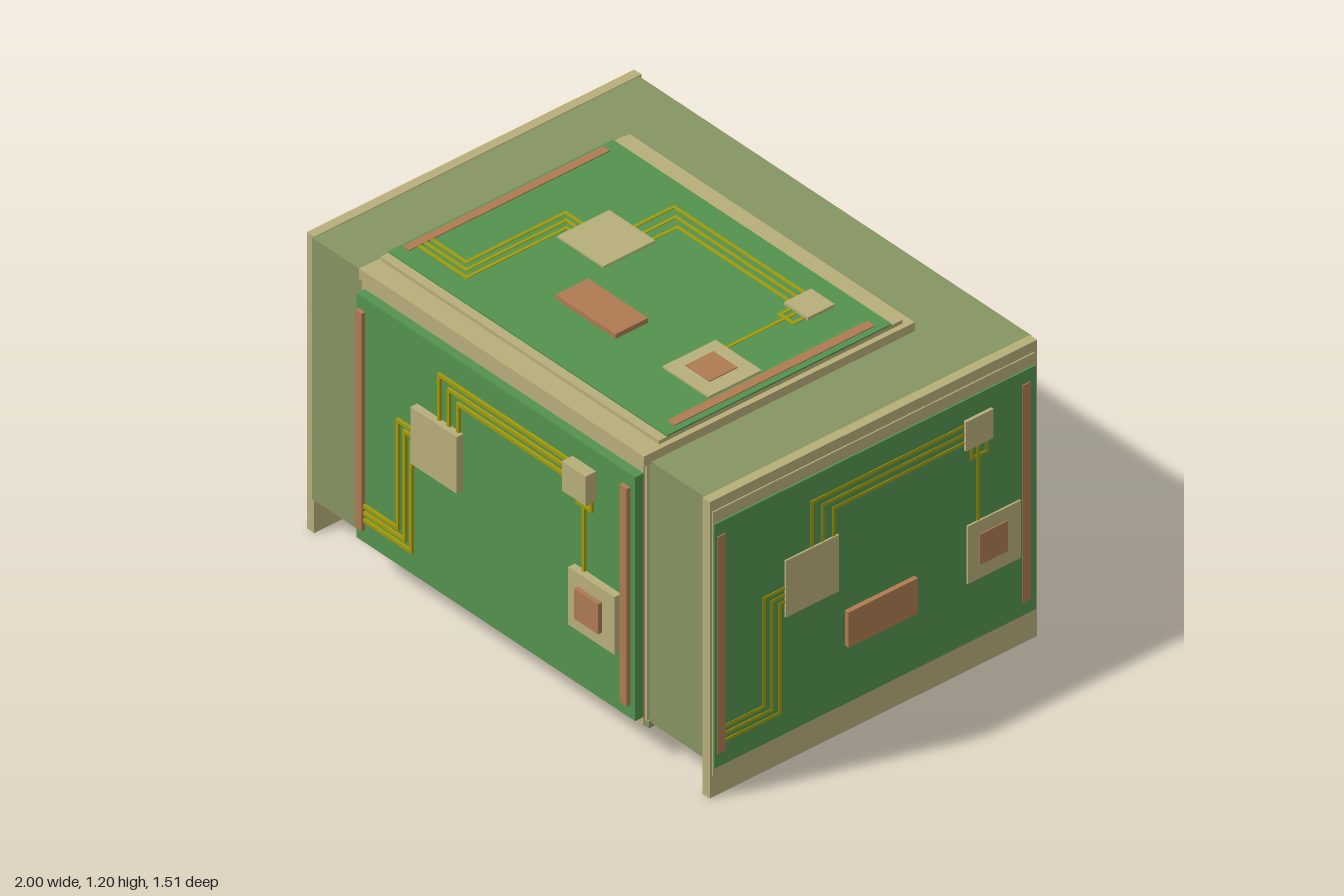
import * as THREE from 'three';

const mat = (c) => new THREE.MeshStandardMaterial({ color: c, flatShading: true });
const olive = mat(0x869463), tan = mat(0xb8ae7a), green = mat(0x53924f);
const copper = mat(0xad7b52), yellow = mat(0xa39a0a);

// Box given by its lower and upper corner
function box(parent, name, material, x0, x1, y0, y1, z0, z1) {
  const mesh = new THREE.Mesh(new THREE.BoxGeometry(x1 - x0, y1 - y0, z1 - z0), material);
  mesh.position.set((x0 + x1) / 2, (y0 + y1) / 2, (z0 + z1) / 2);
  mesh.name = name;
  parent.add(mesh);
  return mesh;
}

// Right-angled circuit trace through a list of points
function trace(parent, points, height) {
  const w = 0.006;
  for (let i = 1; i < points.length; i++) {
    const [ax, ay] = points[i - 1], [bx, by] = points[i];
    box(parent, 'trace', yellow, Math.min(ax, bx) - w, Math.max(ax, bx) + w,
      Math.min(ay, by) - w, Math.max(ay, by) + w, 0, height);
  }
}

// Circuit panel facing +z; its board surface lies at z = 0
function circuitPanel(name, thickness, relief, withBlock) {
  const g = new THREE.Group();
  g.name = name;
  const chip = (label, m, x0, x1, y0, y1, h) => box(g, label, m, x0, x1, y0, y1, 0, h * relief);
  box(g, 'panelFrame', tan, -0.67, 0.66, 0.117, 1.125, -thickness - 0.015, -thickness);
  box(g, 'circuitBoard', green, -0.67, 0.66, 0.15, 1.08, -thickness, 0);
  chip('leftBar', copper, -0.66, -0.628, 0.2, 1.03, 0.015);
  chip('rightBar', copper, 0.602, 0.637, 0.2, 1.03, 0.015);
  chip('largeChip', tan, -0.38, -0.16, 0.597, 0.813, 0.028);
  chip('smallChip', tan, 0.362, 0.475, 0.893, 1.005, 0.045);
  chip('squareChip', tan, 0.373, 0.593, 0.38, 0.6, 0.028);
  chip('chipCore', copper, 0.42, 0.535, 0.435, 0.55, 0.045);
  if (withBlock) box(g, 'raisedBlock', copper, -0.13, 0.157, 0.373, 0.508, 0, 0.018);

  const h = 0.01 * relief;
  for (let i = 0; i < 3; i++) {
    const x = -0.465 + i * 0.032;
    trace(g, [[-0.635, 0.294 - i * 0.027], [x, 0.294 - i * 0.027],
      [x, 0.706 - i * 0.026], [-0.375, 0.706 - i * 0.026]], h);
    const top = 0.983 - i * 0.032, rise = -0.267 + i * 0.045;
    trace(g, [[rise, 0.8], [rise, top], [0.37, top]], h);
  }
  trace(g, [[0.393, 0.9], [0.393, 0.848], [0.457, 0.848], [0.457, 0.9]], h);
  trace(g, [[0.421, 0.9], [0.421, 0.595]], h);
  return g;
}

export function createModel() {
  const model = new THREE.Group();
  model.name = 'panelledBox';

  // Main body and the plates around it
  box(model, 'body', olive, -0.94, 0.94, 0.13, 1.127, -0.69, 0.66);
  box(model, 'rightSidePlate', tan, -0.97, -0.935, 0, 1.13, -0.7, 0.655);
  box(model, 'leftSidePlate', tan, 0.935, 0.97, 0, 1.13, -0.685, 0.67);
  box(model, 'topPlate', tan, -0.68, 0.68, 1.12, 1.16, -0.43, 0.69);
  box(model, 'bottomPlate', olive, -0.68, 0.68, 0.115, 0.14, -0.43, 0.67);
  box(model, 'frontPlate', tan, -0.69, 0.67, 0.118, 1.13, 0.65, 0.67);

  // Circuit panels on the front, both sides and the top
  const front = circuitPanel('frontPanel', 0.035, 1, false);
  front.position.set(0, 0, 0.71);
  const left = circuitPanel('leftPanel', 0.006, 0.25, true);
  left.rotation.y = Math.PI / 2;
  left.position.set(0.981, -0.035, -0.01);
  const right = circuitPanel('rightPanel', 0.006, 0.25, true);
  right.rotation.y = -Math.PI / 2;
  right.position.set(-0.981, -0.035, -0.025);
  const top = circuitPanel('topPanel', 0.006, 0.25, true);
  top.rotation.x = -Math.PI / 2;
  top.position.set(0, 1.18, 0.728);
  model.add(front, left, right, top);

  // Back panel with crossed braces and upright posts
  const back = new THREE.Group();
  back.name = 'backPanel';
  model.add(back);
  const x0 = -0.65, x1 = 0.73, y0 = 0.125, y1 = 1.015;
  box(back, 'backPlate', tan, x0, x1, y0, y1, -0.715, -0.68);
  const length = Math.hypot(x1 - x0, y1 - y0), angle = Math.atan2(y1 - y0, x1 - x0);
  for (const s of [-1, 1]) {
    const brace = box(back, 'crossBrace', copper, -length / 2, length / 2, -0.014, 0.014, -0.735, -0.71);
    brace.position.x = (x0 + x1) / 2;
    brace.position.y = (y0 + y1) / 2;
    brace.rotation.z = s * angle;
  }
  for (const x of [-0.512, -0.235, 0.048, 0.31, 0.588]) {
    box(back, 'backPost', olive, x - 0.009, x + 0.009, y0, y1, -0.757, -0.71);
  }
  return model;
}
